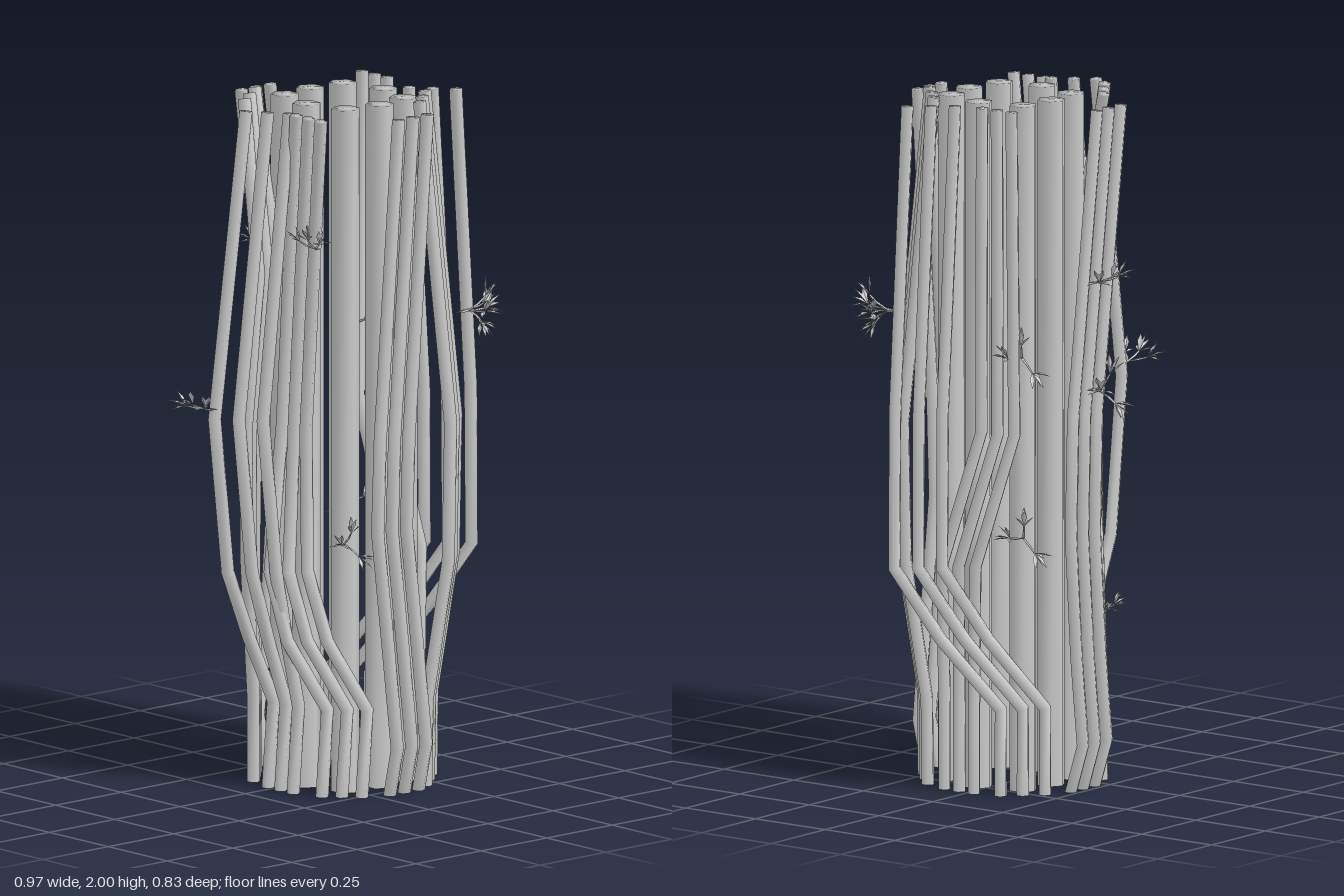
import * as THREE from 'three';
import { mergeGeometries, mergeVertices } from 'three/addons/utils/BufferGeometryUtils.js';

const V = (x, y, z) => new THREE.Vector3(x, y, z);
const UP = V(0, 1, 0);

// Six-sided cane through a list of points, mitred at each bend, with soft ends
function caneGeometry(pts, r0, r1 = r0, sides = 6) {
  const n = pts.length - 1;
  const geo = new THREE.CylinderGeometry(1, 1, n, sides, n);
  const frames = pts.map((p, i) => {
    const a = i > 0 ? p.clone().sub(pts[i - 1]).normalize() : V(0, 0, 0);
    const b = i < n ? pts[i + 1].clone().sub(p).normalize() : V(0, 0, 0);
    return new THREE.Quaternion().setFromUnitVectors(UP, a.add(b).normalize());
  });
  frames[0].identity();
  const pos = geo.attributes.position;
  const v = V(0, 0, 0);
  for (let k = 0; k < pos.count; k++) {
    const i = Math.round(pos.getY(k) + n / 2);
    const r = r0 + (r1 - r0) * i / n;
    v.set(pos.getX(k) * r, 0, pos.getZ(k) * r).applyQuaternion(frames[i]).add(pts[i]);
    pos.setXYZ(k, v.x, v.y, v.z);
  }
  geo.deleteAttribute('normal');
  geo.deleteAttribute('uv');
  const welded = mergeVertices(geo, 1e-5);
  welded.computeVertexNormals();
  return welded;
}

// Narrow folded leaf from base along a direction
function leafGeometry(base, dir, length) {
  const geo = new THREE.BufferGeometry();
  const side = V(dir.z, 0, -dir.x).normalize().multiplyScalar(length * 0.14);
  const mid = base.clone().addScaledVector(dir, length * 0.5);
  const tip = base.clone().addScaledVector(dir, length);
  const fold = V(0, length * 0.08, 0);
  const l = mid.clone().add(side).add(fold), r = mid.clone().sub(side).add(fold);
  geo.setFromPoints([base, l, tip, base, tip, r]);
  geo.computeVertexNormals();
  return geo;
}

// Direction from a heading around y (0 = +z, 90 = +x) and a pitch, in degrees
function heading(yaw, pitch) {
  const a = THREE.MathUtils.degToRad(yaw), p = THREE.MathUtils.degToRad(pitch);
  return V(Math.sin(a) * Math.cos(p), Math.sin(p), Math.cos(a) * Math.cos(p));
}

export function createModel() {
  const model = new THREE.Group();
  const material = new THREE.MeshStandardMaterial({ color: 0xcccccc });
  const leafMaterial = new THREE.MeshStandardMaterial({ color: 0xcccccc, side: THREE.DoubleSide });
  const add = (parent, name, geo, mat = material) => {
    const mesh = new THREE.Mesh(geo, mat);
    mesh.name = name;
    parent.add(mesh);
  };

  // Ring of thick straight poles
  const poles = new THREE.Group();
  poles.name = 'thickPoles';
  for (let i = 0; i < 8; i++) {
    const a = i * Math.PI / 4;
    const r = i % 2 ? 0.157 : 0.147;
    const x = 0.099 + r * Math.sin(a), z = (i % 2 ? 0.03 : 0.033) + (i % 2 ? 0.182 : r) * Math.cos(a);
    add(poles, 'thickPole', caneGeometry([V(x, 0, z), V(x, 1.985, z)], 0.041));
  }
  model.add(poles);

  // Eight clumps of three bent canes; each rule gives [x, y, z] points for cane k
  const clumps = {
    frontCane: k => {
      const x = 0.04 + 0.055 * k;
      return [[x, 0, 0.29], [x, 0.14, 0.322], [x - 0.03, 0.4, 0.322],
        [x - 0.075, 0.78, 0.322], [x - 0.065, 1.05, 0.322], [x + 0.005, 1.97, 0.322]];
    },
    backCane: k => {
      const x = 0.04 + 0.055 * k;
      return [[x, 0, -0.225], [x, 0.14, -0.268], [x + 0.03, 0.4, -0.268],
        [x + 0.055, 0.75, -0.268], [x + 0.045, 1.1, -0.268], [x - 0.065, 1.97, -0.268]];
    },
    rightRowCane: k => {
      const z = -0.02 + 0.053 * k, x = -0.35 + 0.045 * k;
      return [[-0.145, 0, z], [-0.125, 0.25, z], [x + 0.13 - 0.02 * k, 0.45, z],
        [x + 0.05, 0.65, z], [x, 1.1, z], [-0.23 + 0.035 * k, 1.98, z]];
    },
    leftRowCane: k => {
      const z = -0.02 + 0.053 * k, x = 0.316 + 0.008 * k;
      return [[0.335, 0, z], [0.335, 0.25, z], [x, 0.65, z + 0.01],
        [x, 1.05, z - 0.13], [0.335, 1.99, z - 0.135]];
    },
    frontLeftCane: k => {
      const x = 0.31 - 0.053 * k, z = 0.165 + 0.048 * k;
      return [[x, 0, z], [x + 0.005, 0.25, z], [x + 0.045, 0.65, z + 0.045],
        [x + 0.05, 1.05, z + 0.05], [x - 0.015, 1.99, z - 0.01]];
    },
    backLeftCane: k => {
      const x = 0.315 - 0.045 * k, z = -0.1 - 0.045 * k;
      return [[x, 0, z], [x, 0.25, z], [0.42 - 0.044 * k, 0.45, 0.03 - 0.05 * k],
        [0.465 - 0.042 * k, 0.65, 0.165 - 0.053 * k], [0.462 - 0.042 * k, 1.1, 0.165 - 0.053 * k],
        [0.405 - 0.042 * k, 1.98, 0.165 - 0.053 * k]];
    },
    frontRightCane: k => {
      const x = -0.035 - 0.04 * k, z = 0.255 - 0.04 * k;
      return [[x, 0, z], [x + 0.02, 0.25, z], [-0.1 - 0.04 * k, 0.45, 0.18 - 0.04 * k],
        [-0.13 - 0.04 * k, 0.65, 0.13 - 0.035 * k], [-0.1, 1.05, 0.09 - 0.05 * k],
        [-0.165, 1.98, 0.225 - 0.052 * k]];
    },
    backRightCane: k => {
      const x = -0.045 - 0.04 * k, z = -0.185 + 0.04 * k;
      return [[x, 0, z], [x, 0.25, z], [-0.11 - 0.045 * k, 0.65, -0.12 + 0.035 * k],
        [-0.14 - 0.045 * k, 1.05, -0.08 + 0.03 * k], [-0.08 - 0.06 * k, 1.5, -0.06 + 0.03 * k],
        [-0.035 - 0.06 * k, 1.99, -0.2 + 0.045 * k]];
    },
  };
  for (const [name, rule] of Object.entries(clumps)) {
    const clump = new THREE.Group();
    clump.name = name + 's';
    for (let k = 0; k < 3; k++) {
      add(clump, name, caneGeometry(rule(k).map(p => V(...p)), 0.019));
    }
    model.add(clump);
  }

  // Leafy side shoots: position, heading, size and the pitch of each stem
  const low = [12, 25, 18], spread = [10, 55, -45], raised = [35, 45, 30];
  const shoots = [
    [-0.355, 1.13, -0.015, -90, 1, low], [-0.17, 1.61, 0.225, -72, 0.9, raised],
    [0.32, 1.36, 0.27, 45, 1.1, [8, 50, 0]], [0.34, 1.36, 0.26, 45, 0.9, [-40, -55, 15]],
    [0.13, 1.48, -0.28, 175, 1, low], [0.14, 1.17, -0.28, 180, 1.15, spread],
    [0.24, 1.26, -0.12, 125, 1, spread], [0.25, 0.74, -0.13, 130, 1, spread],
    [-0.06, 0.73, 0.19, -10, 0.9, spread], [-0.06, 0.48, -0.14, 200, 0.8, low],
  ];
  for (const [x, y, z, yaw, s, pitches] of shoots) {
    const shoot = new THREE.Group();
    shoot.name = 'leafyShoot';
    const start = V(x, y, z);
    const fork = start.clone().addScaledVector(heading(yaw, 10), 0.025 * s);
    const stems = [caneGeometry([start, fork], 0.005 * s, 0.004 * s, 5)];
    const leaves = [];
    [-50, 0, 50].forEach((turn, b) => {
      const pitch = pitches[b];
      const knee = fork.clone().addScaledVector(heading(yaw + turn * 0.7, pitch * 0.7), 0.035 * s);
      const end = knee.clone().addScaledVector(heading(yaw + turn, pitch), 0.025 * s);
      stems.push(caneGeometry([fork, knee, end], 0.004 * s, 0.0025 * s, 5));
      // Spray of leaves at each stem end
      for (let i = -2; i <= 2; i++) {
        const dir = heading(yaw + turn + i * 22, pitch + (i % 2 ? 38 : 4 - 9 * Math.abs(i)));
        leaves.push(leafGeometry(end, dir, (0.06 - 0.005 * Math.abs(i)) * s));
      }
    });
    add(shoot, 'shootStems', mergeGeometries(stems));
    add(shoot, 'shootLeaves', mergeGeometries(leaves), leafMaterial);
    model.add(shoot);
  }
  return model;
}
